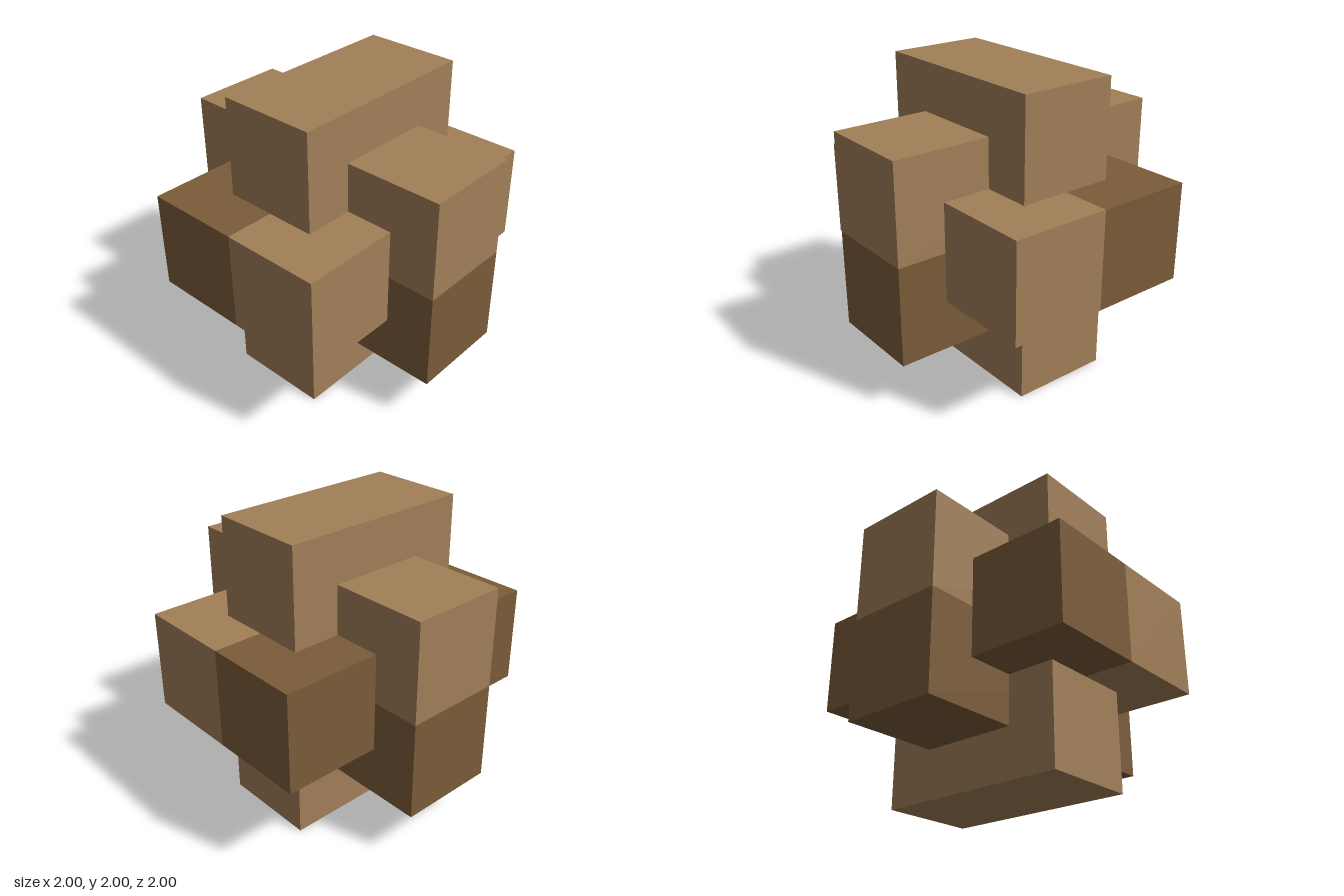
import * as THREE from 'three';

// Six-piece interlocking wooden burr: three crossed pairs of square sticks.
export function createModel() {
  const group = new THREE.Group();
  group.name = 'burrPuzzle';
  const lightWood = new THREE.MeshStandardMaterial({ color: 0xa17f58 });
  lightWood.name = 'lightWood';
  const darkWood = new THREE.MeshStandardMaterial({ color: 0x7b5c39 });
  darkWood.name = 'darkWood';

  const W = 2 / 3; // stick thickness
  const L = 2; // stick length

  function stick(name, size, position, material) {
    const mesh = new THREE.Mesh(new THREE.BoxGeometry(...size), material);
    mesh.name = name;
    mesh.position.set(...position);
    group.add(mesh);
  }

  // Upright pair, side by side in x
  stick('uprightStickLeft', [W, L, W], [W / 2, 1, 0], lightWood);
  stick('uprightStickRight', [W, L, W], [-W / 2, 1, 0], lightWood);

  // Front-to-back pair, stacked in y
  stick('depthStickUpper', [W, W, L], [0, 1 + W / 2, 0], lightWood);
  stick('depthStickLower', [W, W, L], [0, 1 - W / 2, 0], darkWood);

  // Sideways pair, one behind the other in z
  stick('crossStickFront', [L, W, W], [0, 1, W / 2], lightWood);
  stick('crossStickBack', [L, W, W], [0, 1, -W / 2], darkWood);

  return group;
}
